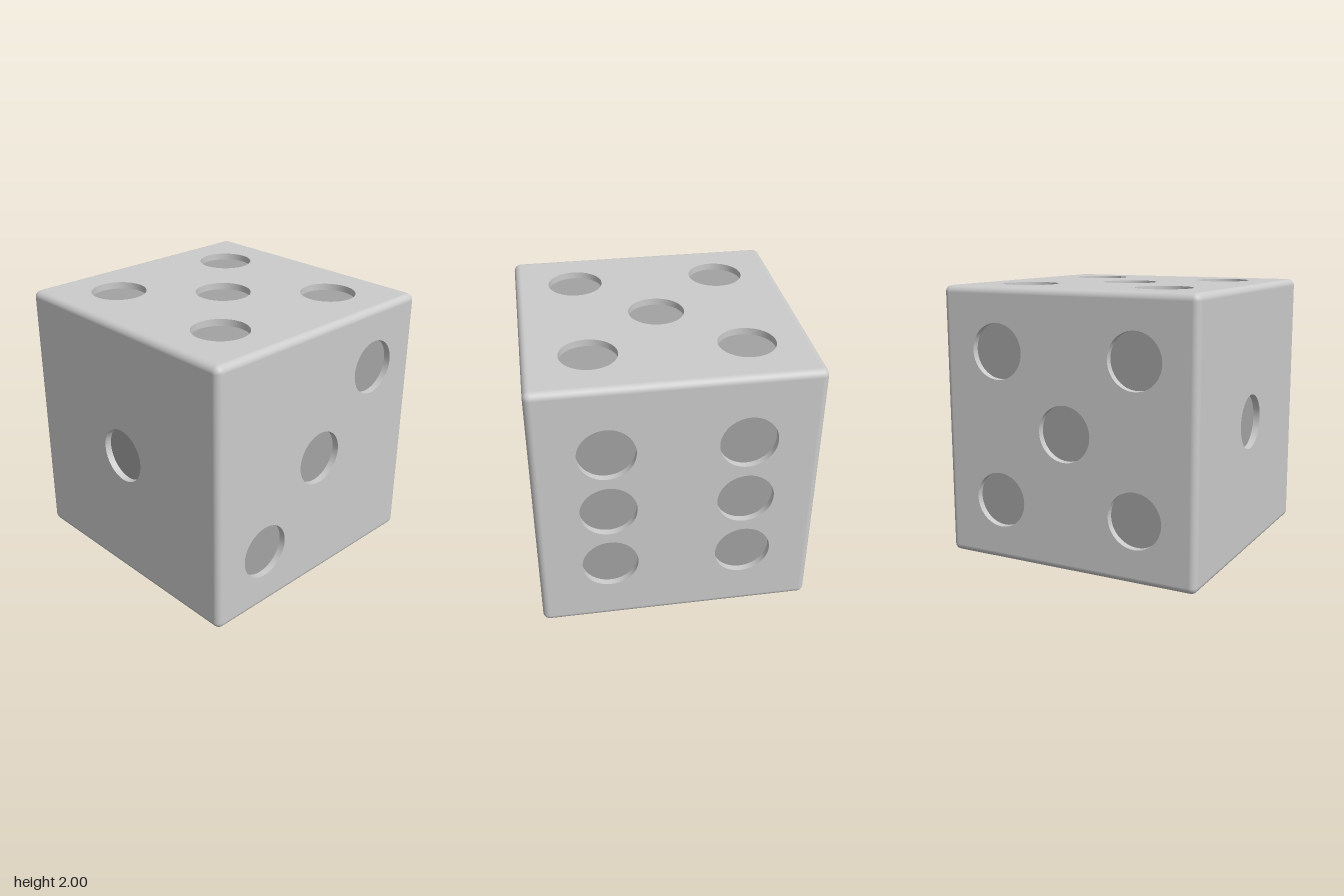
import * as THREE from 'three';

const HALF = 1;          // half the cube's side
const ROUND = 0.05;      // edge radius
const FLAT = HALF - ROUND;
const PIP_R = 0.203;
const PIP_DEPTH = 0.05;
const SEG = 48;

const bodyMat = new THREE.MeshStandardMaterial({ color: 0xcccccc });
const pipMat = new THREE.MeshStandardMaterial({ color: 0xa3a3a3 });

function mesh(name, geometry, material = bodyMat) {
  const m = new THREE.Mesh(geometry, material);
  m.name = name;
  return m;
}

// One flat side facing +z, pierced by recessed round pips
function makeSide(name, pips) {
  const side = new THREE.Group();
  side.name = name;

  const shape = new THREE.Shape();
  shape.moveTo(-FLAT, -FLAT);
  shape.lineTo(FLAT, -FLAT);
  shape.lineTo(FLAT, FLAT);
  shape.lineTo(-FLAT, FLAT);
  shape.closePath();
  for (const [x, y] of pips) {
    shape.holes.push(new THREE.Path().absarc(x, y, PIP_R, 0, Math.PI * 2, true));
  }
  const plate = mesh('plate', new THREE.ShapeGeometry(shape, SEG / 2));
  plate.position.z = HALF;
  side.add(plate);

  // Profile runs downward so the wall faces into the recess
  const wallGeo = new THREE.LatheGeometry(
    [new THREE.Vector2(PIP_R, 0), new THREE.Vector2(PIP_R, -PIP_DEPTH)], SEG).rotateX(Math.PI / 2);
  const floorGeo = new THREE.CircleGeometry(PIP_R, SEG);
  for (const [x, y] of pips) {
    const wall = mesh('pipWall', wallGeo);
    wall.position.set(x, y, HALF);
    const floor = mesh('pipFloor', floorGeo, pipMat);
    floor.position.set(x, y, HALF - PIP_DEPTH);
    side.add(wall, floor);
  }
  return side;
}

// Four copies of a geometry turned around the y axis
function makeRing(name, geometry) {
  const ring = new THREE.Group();
  ring.name = name + 'Ring';
  for (let i = 0; i < 4; i++) {
    const part = mesh(name, geometry);
    part.rotation.y = i * Math.PI / 2;
    ring.add(part);
  }
  return ring;
}

export function createModel() {
  const model = new THREE.Group();
  model.name = 'die';
  const body = new THREE.Group();
  body.name = 'body';
  body.position.y = HALF;
  model.add(body);

  // Pip layouts
  const q = Math.PI / 2, a = 0.545, b = 0.485;
  const one = [[0, 0]];
  const two = [[b, -b], [-b, b]];
  const three = [[-a, -a], [0, 0], [a, a]];
  const five = [[-a, -a], [a, -a], [0, 0], [-a, a], [a, a]];
  const six = [];
  for (const x of [-b, b]) for (const y of [-b, 0, b]) six.push([x, y]);

  // Six sides: name, pips, rotation about x, rotation about y
  const sides = [
    ['frontSide', one, 0, 0],
    ['backSide', six, 0, Math.PI],
    ['leftSide', three, 0, q],
    ['rightSide', five, 0, -q],
    ['topSide', five, -q, 0],
    ['bottomSide', two, q, 0],
  ];
  for (const [name, pips, rx, ry] of sides) {
    const side = makeSide(name, pips);
    side.rotation.set(rx, ry, 0);
    body.add(side);
  }

  // Rounded edges along the three axes
  const edgeGeo = new THREE.CylinderGeometry(ROUND, ROUND, 2 * FLAT, 8, 1, true, 0, q)
    .translate(FLAT, 0, FLAT);
  for (const [rx, rz] of [[0, 0], [q, 0], [0, q]]) {
    const ring = makeRing('roundedEdge', edgeGeo);
    ring.rotation.set(rx, 0, rz);
    body.add(ring);
  }

  // Rounded corners, upper and lower
  const cornerGeo = new THREE.SphereGeometry(ROUND, 8, 8, q, q, 0, q).translate(FLAT, FLAT, FLAT);
  for (const rx of [0, Math.PI]) {
    const ring = makeRing('roundedCorner', cornerGeo);
    ring.rotation.x = rx;
    body.add(ring);
  }

  return model;
}
